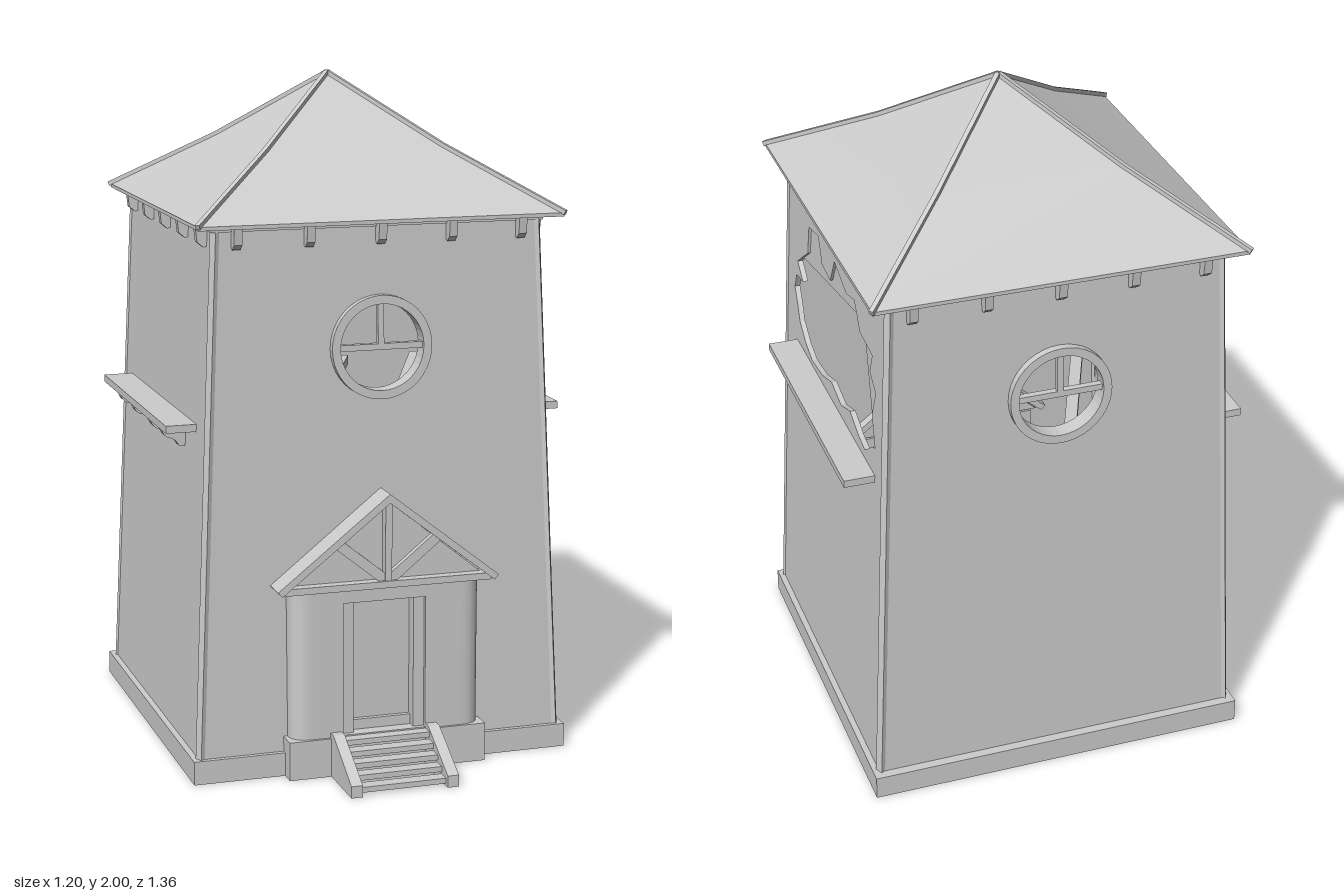
import * as THREE from 'three';
import { toCreasedNormals } from 'three/addons/utils/BufferGeometryUtils.js';

const CZ = -0.113;                 // tower axis in z
const ROOF_Z = -0.109;             // roof axis in z
const BASE_Z = -0.12;              // plinth axis in z
const WALL_TOP = 1.6;
const halfX = y => 0.557 - 0.044 * y;  // tapering half width
const halfZ = y => 0.544 - 0.023 * y;  // tapering half depth

export function createModel() {
  const root = new THREE.Group();
  const stone = new THREE.MeshStandardMaterial({ color: 0xcccccc });
  stone.name = 'pale grey';

  function add(name, geo, parent = root) {
    const m = new THREE.Mesh(geo, stone);
    m.name = name;
    parent.add(m);
    return m;
  }
  // box given by its limits
  function box(name, x0, x1, y0, y1, z0, z1, parent = root) {
    const m = add(name, new THREE.BoxGeometry(x1 - x0, y1 - y0, z1 - z0), parent);
    m.position.set((x0 + x1) / 2, (y0 + y1) / 2, (z0 + z1) / 2);
    return m;
  }
  // bar between two points
  function bar(name, a, b, w, d = w) {
    const p = new THREE.Vector3(...a), q = new THREE.Vector3(...b);
    const m = add(name, new THREE.BoxGeometry(w, d, p.distanceTo(q)));
    m.position.copy(p).add(q).multiplyScalar(0.5);
    m.lookAt(q);
    return m;
  }
  const shapeOf = pts => new THREE.Shape(pts.map(p => new THREE.Vector2(...p)));
  const extrude = (shape, depth) =>
    new THREE.ExtrudeGeometry(shape, { depth, bevelEnabled: false, curveSegments: 20 });

  // lay a flat shape on side k (0 front, 1 left, 2 back, 3 right), leaning with the wall
  function onSide(name, k, shape, inner, outer) {
    const half = k % 2 ? halfX : halfZ;
    const g = extrude(shape, outer - inner);
    const p = g.attributes.position;
    for (let i = 0; i < p.count; i++) p.setZ(i, p.getZ(i) + inner + half(p.getY(i)));
    g.computeVertexNormals();
    g.rotateY(k * Math.PI / 2).translate(0, 0, CZ);
    return add(name, g);
  }
  function wallShape(k) {
    const half = k % 2 ? halfZ : halfX, b = half(0) - 0.005, t = half(WALL_TOP) - 0.005;
    return shapeOf([[-b, 0.04], [b, 0.04], [t, WALL_TOP], [-t, WALL_TOP]]);
  }
  const circle = (r, C = THREE.Path) => new C().absarc(0, 1.245, r, 0, Math.PI * 2);

  // front and back walls with round windows
  for (const k of [0, 2]) {
    const wall = wallShape(k);
    wall.holes.push(circle(0.135));
    onSide('wall', k, wall, -0.014, 0);
    const ring = circle(0.15, THREE.Shape);
    ring.holes.push(circle(0.125));
    onSide('windowFrame', k, ring, -0.03, 0.022);
    onSide('windowCrossbar', k, shapeOf([[-0.13, 1.236], [0.13, 1.236], [0.13, 1.254], [-0.13, 1.254]]), -0.01, 0.01);
    onSide('windowMullion', k, shapeOf([[-0.009, 1.25], [0.009, 1.25], [0.009, 1.375], [-0.009, 1.375]]), -0.01, 0.01);
  }

  // intact wall and broken wall, the latter in two layers
  onSide('wall', 3, wallShape(3), -0.014, 0);
  const toU = pts => pts.map(([z, y]) => new THREE.Vector2(CZ - z, y));
  const lower = [[-0.51, 1.1], [-0.44, 1.05], [-0.38, 1.06], [-0.29, 1.09], [-0.2, 1.06], [-0.1, 1.08],
    [0.0, 1.05], [0.11, 1.04], [0.18, 1.06], [0.25, 1.1], [0.28, 1.15], [0.31, 1.19], [0.29, 1.24],
    [0.22, 1.25], [0.28, 1.29], [0.24, 1.32]];
  const upper = [[0.17, 1.37], [0.16, 1.46], [0.06, 1.48], [0.02, 1.41], [-0.07, 1.4], [-0.11, 1.48],
    [-0.23, 1.44], [-0.31, 1.46], [-0.37, 1.39], [-0.49, 1.38], [-0.47, 1.32], [-0.53, 1.28],
    [-0.5, 1.2], [-0.535, 1.11]];
  const outerLayer = wallShape(1), innerLayer = wallShape(1);
  outerLayer.holes.push(new THREE.Path(toU([...lower, ...upper])));
  innerLayer.holes.push(new THREE.Path(toU([...lower, [-0.38, 1.43]])));
  onSide('brokenWallOuterLayer', 1, outerLayer, -0.008, 0);
  onSide('brokenWallInnerLayer', 1, innerLayer, -0.016, -0.008);

  // corner posts
  for (const sx of [-1, 1]) for (const sz of [-1, 1]) {
    const at = y => [sx * (halfX(y) - 0.01), y, CZ + sz * (halfZ(y) - 0.01)];
    bar('cornerPost', at(0.01), at(1.6), 0.024);
  }

  // hollow plinth and raised ground floor
  for (const s of [-1, 1]) {
    box('plinth', s * 0.558 - 0.014, s * 0.558 + 0.014, 0, 0.07, BASE_Z - 0.564, BASE_Z + 0.564);
    box('plinth', -0.57, 0.57, 0, 0.07, BASE_Z + s * 0.55 - 0.014, BASE_Z + s * 0.55 + 0.014);
  }
  box('groundFloor', -0.544, 0.544, 0.12, 0.13, CZ - 0.535, CZ + 0.535);

  // roof: pyramid with a slight kick, a little deeper than wide
  const roof = new THREE.CylinderGeometry(0, 0.543 * Math.SQRT2, 0.376, 4, 2, true).rotateY(Math.PI / 4);
  const rp = roof.attributes.position;
  for (let i = 0; i < rp.count; i++) if (Math.abs(rp.getY(i)) < 0.01) rp.setY(i, -0.014);
  add('roof', toCreasedNormals(roof.scale(1, 1, 1.02), 0.4)).position.set(0, 1.8, ROOF_Z);
  box('eaves', -0.543, 0.543, 1.602, 1.613, ROOF_Z - 0.555, ROOF_Z + 0.555);
  box('wallPlate', -0.495, 0.495, 1.59, 1.602, CZ - 0.513, CZ + 0.513);
  for (const sx of [-1, 1]) for (const sz of [-1, 1]) {
    const at = (h, y) => [sx * h, y, ROOF_Z + sz * h * 1.02];
    bar('hipRidge', at(0.546, 1.613), at(0.2715, 1.788), 0.014);
    bar('hipRidge', at(0.2715, 1.788), at(0, 1.99), 0.014);
  }

  // rafter ends under the eaves
  const rafter = shapeOf([[-0.03, 1.603], [-0.03, 1.55], [0.012, 1.54], [0.03, 1.555], [0.035, 1.603]]);
  for (let k = 0; k < 4; k++) for (let i = -2; i <= 2; i++) {
    const half = k % 2 ? halfX(1.6) : halfZ(1.6);
    const g = extrude(rafter, 0.024).translate(0, 0, -0.012).rotateY(-Math.PI / 2);
    g.translate(i * 0.212, 0, half).rotateY(k * Math.PI / 2).translate(0, 0, k % 2 ? ROOF_Z : CZ);
    add('rafterEnd', g);
  }

  // side ledges on curved brackets
  const bracket = new THREE.Shape();
  bracket.moveTo(0.49, 1.002);
  bracket.lineTo(0.49, 0.935);
  bracket.lineTo(0.535, 0.938);
  bracket.quadraticCurveTo(0.545, 0.96, 0.565, 0.962);
  bracket.quadraticCurveTo(0.585, 0.97, 0.588, 1.002);
  for (const s of [-1, 1]) {
    const side = new THREE.Group();
    side.name = 'sideLedge';
    side.scale.x = s;
    root.add(side);
    box('ledge', 0.49, 0.602, 1.002, 1.024, -0.54, 0.278, side);
    for (const z of [0.14, 0, -0.22, -0.4])
      add('bracket', extrude(bracket, 0.034).translate(0, 0, z - 0.017), side);
  }

  // beams lying askew inside
  for (const x of [-0.25, 0, 0.25])
    bar('looseBeam', [x + 0.2, 1.02, -0.58], [x - 0.2, 1.02, 0.35], 0.035, 0.03);

  // porch walls with rounded outer corners
  for (const s of [-1, 1]) {
    const side = new THREE.Group();
    side.name = 'porchSide';
    side.scale.x = s;
    root.add(side);
    const inner = 0.125 - 0.01 * s;
    const plan = new THREE.Shape();
    plan.moveTo(inner, -0.483);
    plan.lineTo(0.225, -0.483);
    plan.quadraticCurveTo(0.288, -0.483, 0.288, -0.43);
    plan.lineTo(0.288, -0.38);
    plan.lineTo(inner, -0.38);
    add('porchWall', toCreasedNormals(extrude(plan, 0.555).rotateX(-Math.PI / 2), 0.6), side);
    box('porchFoot', 0.14, 0.3, 0, 0.115, 0.42, 0.492, side);
  }
  // doorway
  box('lintel', -0.135, 0.115, 0.515, 0.555, 0.38, 0.483);
  box('threshold', -0.15, 0.14, 0, 0.12, 0.43, 0.486);
  box('doorSill', -0.1, 0.085, 0.12, 0.15, 0.41, 0.445);
  box('door', -0.1, 0.085, 0.15, 0.515, 0.41, 0.43);
  for (const x of [-0.1175, 0.1]) box('doorFrame', x - 0.0175, x + 0.0175, 0.12, 0.515, 0.41, 0.47);

  // porch gable, roof and truss
  add('porchRoof', extrude(shapeOf([[-0.335, 0.568], [-0.322, 0.553], [0, 0.805], [0.322, 0.553],
    [0.335, 0.568], [0, 0.832]]), 0.127).translate(0, 0, 0.373));
  add('gable', extrude(shapeOf([[-0.305, 0.56], [0.305, 0.56], [0, 0.808]]), 0.08).translate(0, 0, 0.38));
  box('tieBeam', -0.315, 0.315, 0.553, 0.573, 0.44, 0.492);
  box('kingPost', -0.01, 0.01, 0.57, 0.81, 0.455, 0.488);
  for (const s of [-1, 1])
    bar('strut', [s * 0.008, 0.575, 0.472], [s * 0.15, 0.69, 0.472], 0.018, 0.03);

  // entrance steps between sloping side boards
  const stringer = shapeOf([[0.46, 0], [0.68, 0], [0.68, 0.035], [0.51, 0.13], [0.46, 0.13]]);
  for (const x of [-0.157, 0.133])
    add('stepSide', extrude(stringer, 0.034).rotateY(-Math.PI / 2).translate(x + 0.017, 0, 0));
  for (let i = 0; i < 5; i++)
    box('step', -0.142, 0.118, 0.008 + i * 0.023, 0.024 + i * 0.023, 0.625 - i * 0.036, 0.666 - i * 0.036);
  return root;
}
